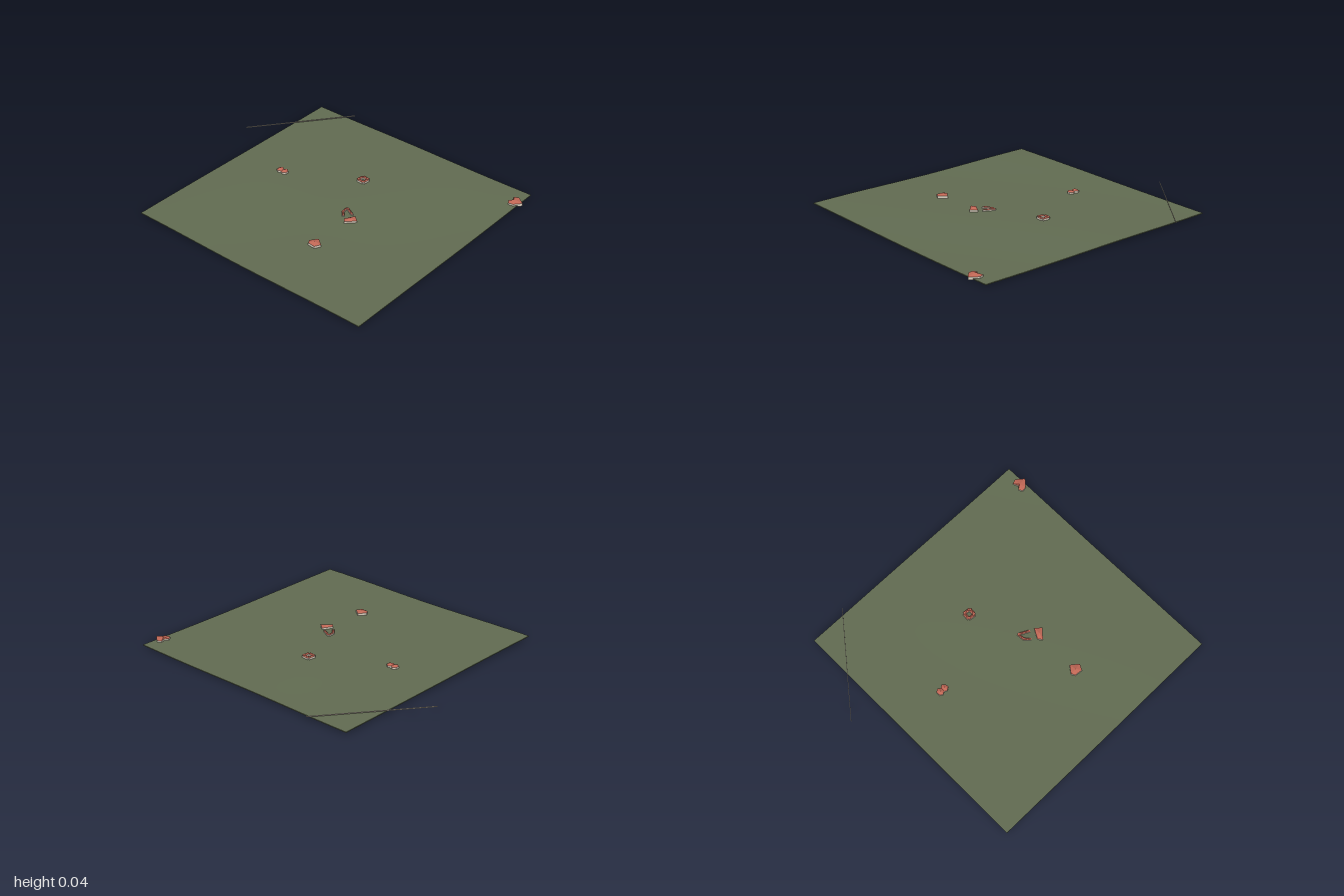
import * as THREE from 'three';

const mat = (name, color) => Object.assign(
  new THREE.MeshStandardMaterial({ color, flatShading: true, side: THREE.DoubleSide }), { name });

// Gently rolling ground height
const ground = (x, z) => 0.02 - 0.005 * z
  + 0.003 * Math.sin(3.1 * x + 0.8) * Math.cos(2.7 * z)
  + 0.002 * Math.sin(5 * z + 2 * x);

function facets(name, positions, material) {
  const g = new THREE.BufferGeometry();
  g.setAttribute('position', new THREE.Float32BufferAttribute(positions, 3));
  g.computeVertexNormals();
  const mesh = new THREE.Mesh(g, material);
  mesh.name = name;
  return mesh;
}

// Walls around an outline [x, z] (clockwise from above) with a roof rising to one apex
function building(name, outline, base, eave, apex, mats) {
  const walls = [], roof = [], n = outline.length;
  const cx = outline.reduce((s, p) => s + p[0], 0) / n;
  const cz = outline.reduce((s, p) => s + p[1], 0) / n;
  outline.forEach(([ax, az], i) => {
    const [bx, bz] = outline[(i + 1) % n];
    walls.push(ax, base, az, ax, eave, az, bx, eave, bz, ax, base, az, bx, eave, bz, bx, base, bz);
    roof.push(bx, eave, bz, ax, eave, az, cx, apex, cz);
  });
  const group = new THREE.Group();
  group.name = name;
  group.add(facets('walls', walls, mats.wall), facets('roof', roof, mats.roof));
  return group;
}

// Four-cornered outline of a narrow wing from a to b
function wing(a, b, width) {
  const dx = b[0] - a[0], dz = b[1] - a[1], k = width / 2 / Math.hypot(dx, dz);
  const nx = -dz * k, nz = dx * k;
  return [[a[0] - nx, a[1] - nz], [b[0] - nx, b[1] - nz], [b[0] + nx, b[1] + nz], [a[0] + nx, a[1] + nz]];
}

export function createModel() {
  const model = new THREE.Group();
  model.name = 'settlement';
  const grass = mat('grass', 0x626c52);
  const mats = { wall: mat('plaster', 0xd9cebd), roof: mat('clay tile', 0xc26856) };

  // Thin ground slab
  const slab = new THREE.BoxGeometry(1.77, 0.006, 1.77, 28, 1, 28);
  slab.translate(-0.02, -0.003, 0.085);
  const p = slab.attributes.position;
  for (let i = 0; i < p.count; i++) p.setY(i, p.getY(i) + ground(p.getX(i), p.getZ(i)));
  slab.computeVertexNormals();
  const terrain = new THREE.Mesh(slab, grass);
  terrain.name = 'terrain';
  grass.flatShading = false;
  model.add(terrain);

  // Pair of small cottages at the back
  for (const z of [-0.46, -0.423]) {
    const outline = [[0.025, z - 0.02], [0.055, z - 0.02], [0.068, z], [0.052, z + 0.021], [0.028, z + 0.021], [0.014, z]];
    model.add(building('cottage', outline, 0.012, 0.034, 0.045, mats));
  }

  // Larger houses
  model.add(building('westHouse', [
    [-0.458, 0.218], [-0.41, 0.254], [-0.45, 0.306], [-0.49, 0.285], [-0.484, 0.232],
  ], 0.007, 0.034, 0.045, mats));
  model.add(building('centreHouse', [
    [-0.167, 0.255], [-0.14, 0.233], [-0.074, 0.27], [-0.108, 0.313],
  ], 0.006, 0.034, 0.045, mats));
  model.add(building('cornerHouse', [
    [0.68, 0.917], [0.707, 0.901], [0.728, 0.922], [0.764, 0.906], [0.776, 0.938], [0.733, 0.992], [0.685, 0.95],
  ], 0.006, 0.026, 0.036, mats));

  // Courtyard house made of four wings
  const c = [0.292, 0.04], r = 0.034;
  const corner = i => {
    const a = 0.1 + Math.PI * (i / 2 + 0.25);
    return [c[0] + r * Math.cos(a), c[1] + r * Math.sin(a)];
  };
  for (let i = 0; i < 4; i++) {
    model.add(building('courtyardWing', wing(corner(i), corner(i + 1), 0.021), 0.009, 0.037, 0.044, mats));
  }

  // Narrow U-shaped outbuilding
  const u = [[-0.112, 0.205], [-0.076, 0.171], [-0.028, 0.168], [-0.066, 0.24]];
  for (let i = 0; i < 3; i++) {
    model.add(building('outbuildingWing', wing(u[i], u[i + 1], 0.015), 0.007, 0.03, 0.036, mats));
  }

  // Long thin boundary wall, passing the back corner
  const wall = new THREE.Mesh(new THREE.BoxGeometry(0.775, 0.006, 0.003), mats.wall);
  wall.name = 'boundaryWall';
  wall.position.set(0.595, 0.036, -0.76);
  wall.rotation.y = -Math.atan2(0.48, 0.61);
  model.add(wall);

  return model;
}
